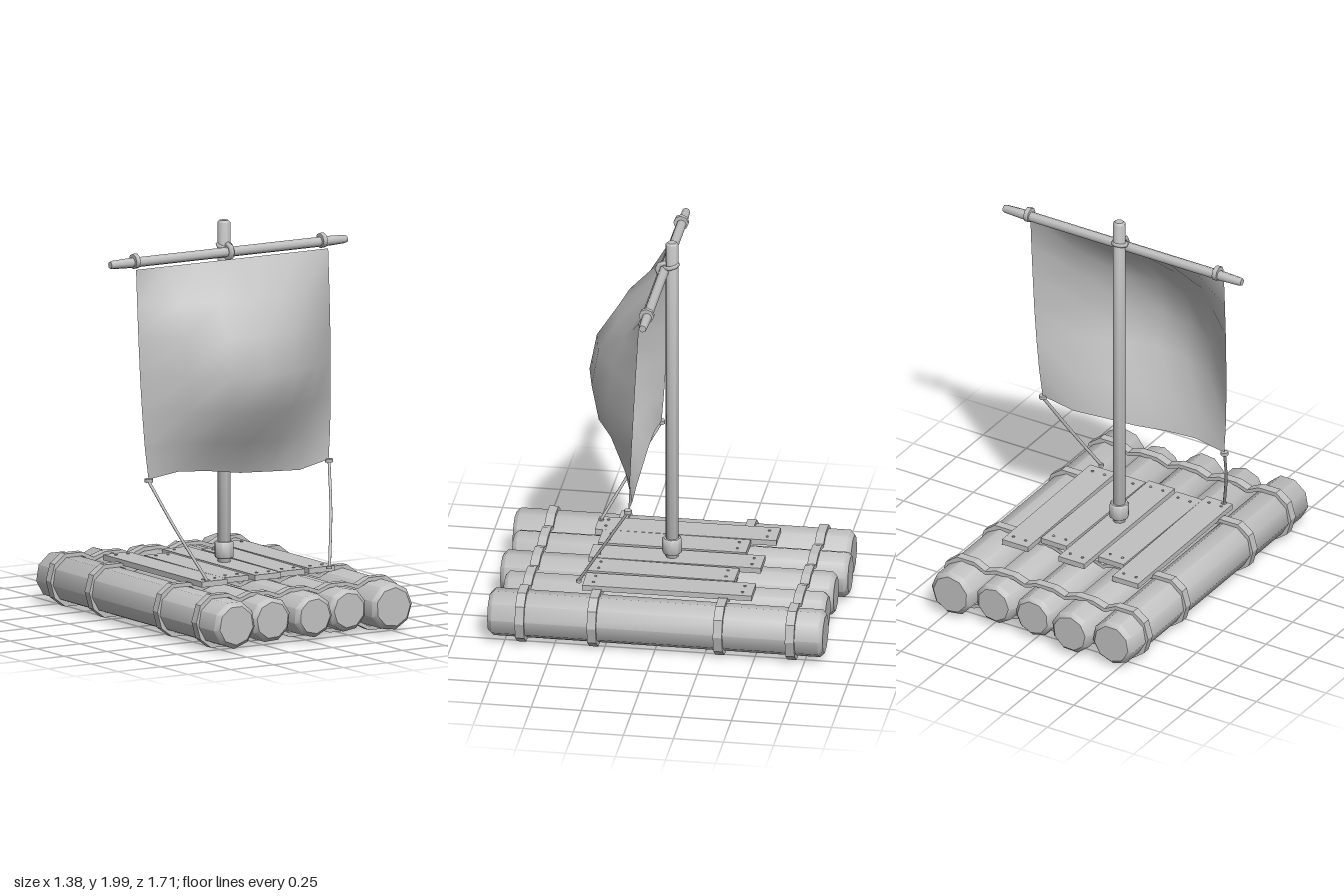
import * as THREE from 'three';
import { toCreasedNormals } from 'three/addons/utils/BufferGeometryUtils.js';

const grey = new THREE.MeshStandardMaterial({ color: 0xc0c0c0 });
grey.name = 'plain grey';
const greyCloth = grey;
greyCloth.side = THREE.DoubleSide;

export function createModel() {
  const model = new THREE.Group();
  model.name = 'raft';

  const add = (name, geometry, x = 0, y = 0, z = 0) => {
    const mesh = new THREE.Mesh(geometry, grey);
    mesh.name = name;
    mesh.position.set(x, y, z);
    model.add(mesh);
    return mesh;
  };

  // Round pole along y with chamfered ends
  const pole = (r, from, to, bevel, sides) => {
    const points = [
      [0, from], [r - bevel, from], [r, from + bevel],
      [r, to - bevel], [r - bevel, to], [0, to],
    ].map(([px, py]) => new THREE.Vector2(px, py));
    return toCreasedNormals(new THREE.LatheGeometry(points, sides), 0.79);
  };

  // Five floating logs: x, radius, back z, front z
  [
    [-0.465, 0.12, -0.84, 0.85],
    [-0.235, 0.114, -0.86, 0.82],
    [0, 0.11, -0.825, 0.84],
    [0.23, 0.11, -0.82, 0.79],
    [0.463, 0.12, -0.845, 0.83],
  ].forEach(([x, r, back, front], i) => {
    const log = pole(r, back, front, 0.022, 9);
    log.rotateY(i * 1.1);
    log.rotateX(Math.PI / 2);
    add('log', log, x, 0.142, 0);
  });

  // Wavy lashings wrapped round all the logs
  const outline = (inset) => {
    const quarter = [
      [0.05, 0.122], [0.115, 0.098], [0.18, 0.122], [0.28, 0.122],
      [0.345, 0.1], [0.41, 0.132], [0.51, 0.132], [0.573, 0.085], [0.597, 0],
    ].map(([x, y]) => [x > 0.5 ? x - inset * 0.9 : x, y > 0 ? y - inset : 0]);
    const side = quarter.concat(quarter.slice(0, -1).reverse().map(([x, y]) => [x, -y]));
    return side.concat(side.slice().reverse().map(([x, y]) => [-x, y]))
      .map(([x, y]) => new THREE.Vector2(x, y));
  };
  const band = new THREE.Shape(outline(0));
  band.holes.push(new THREE.Path(outline(0.02)));
  const bandGeometry = new THREE.ExtrudeGeometry(band, { depth: 0.045, bevelEnabled: false });
  bandGeometry.translate(0, 0, -0.0225);
  for (const z of [-0.685, -0.325, 0.305, 0.665]) add('lashing', bandGeometry, 0, 0.142, z);

  // Deck planks: x, back z, front z, small turn
  [
    [-0.325, -0.485, 0.42, 0.008],
    [-0.17, -0.36, 0.38, -0.004],
    [0, -0.46, 0.4, 0.003],
    [0.16, -0.355, 0.38, -0.012],
    [0.325, -0.465, 0.38, 0.008],
  ].forEach(([x, back, front, turn]) => {
    const plank = add('plank', new THREE.BoxGeometry(0.15, 0.028, front - back), x, 0.274, (back + front) / 2);
    plank.rotation.y = turn;
    for (const z of [back + 0.05, front - 0.05]) {
      for (const s of [-1, 1]) {
        add('nail', new THREE.CylinderGeometry(0.007, 0.007, 0.006, 6), x + s * 0.035, 0.29, z);
      }
    }
  });

  // Mast and its foot collar
  add('mast', pole(0.032, 0.27, 2, 0.01, 8), 0, 0, -0.005);
  add('mastCollar', pole(0.049, 0.308, 0.39, 0.006, 8), 0, 0, -0.005);

  // Yard with thinner tips, sail rings and the knot at the mast
  const yardPoints = [
    [0, -0.688], [0.018, -0.688], [0.021, -0.675], [0.025, -0.58],
    [0.025, 0.58], [0.021, 0.675], [0.018, 0.688], [0, 0.688],
  ].map(([r, y]) => new THREE.Vector2(r, y));
  const yard = toCreasedNormals(new THREE.LatheGeometry(yardPoints, 8), 0.8);
  yard.rotateZ(Math.PI / 2);
  add('yard', yard, 0, 1.845, 0.033);
  for (const s of [-1, 1]) {
    const ring = new THREE.CylinderGeometry(0.038, 0.038, 0.024, 8);
    ring.rotateZ(Math.PI / 2);
    add('sailRing', toCreasedNormals(ring, 0.8), s * 0.545, 1.852, 0.035);
  }
  const knot = new THREE.TorusGeometry(0.035, 0.014, 6, 8);
  knot.rotateY(Math.PI / 2);
  add('yardKnot', knot, 0, 1.848, 0.033);
  const mastLoop = new THREE.TorusGeometry(0.035, 0.011, 6, 8);
  mastLoop.rotateX(Math.PI / 2 + 0.25);
  add('mastLoop', mastLoop, 0, 1.872, 0);

  // Billowing sail: a plane moved row by row
  const rowY = [1.815, 1.64, 1.47, 1.28, 1.1, 0.92, 0.765];
  const rowDepth = [0, 0.18, 0.28, 0.307, 0.255, 0.1, 0.015];
  const columnBulge = [0, 0.52, 0.87, 1, 0.87, 0.52, 0];
  const hemLift = [0.005, 0.03, 0.015, -0.01, -0.02, -0.03, 0.005];
  const sail = new THREE.PlaneGeometry(1, 1, 6, 6);
  const position = sail.attributes.position;
  for (let i = 0; i < position.count; i++) {
    const column = i % 7, row = Math.floor(i / 7), v = row / 6;
    const halfWidth = 0.56 - 0.035 * v ** 3;
    position.setXYZ(
      i,
      (column / 3 - 1) * halfWidth,
      rowY[row] + hemLift[column] * v ** 3,
      0.07 + 0.06 * v + rowDepth[row] * columnBulge[column],
    );
  }
  sail.computeVertexNormals();
  add('sail', sail);

  // Sheets tying the lower sail corners to the deck
  for (const s of [-1, 1]) {
    const path = new THREE.CatmullRomCurve3([
      new THREE.Vector3(s * 0.527, 0.765, 0.13),
      new THREE.Vector3(s * 0.455, 0.54, 0.262),
      new THREE.Vector3(s * 0.355, 0.285, 0.408),
    ]);
    add('sheetRope', new THREE.TubeGeometry(path, 8, 0.008, 6));
    add('cornerKnot', new THREE.CylinderGeometry(0.02, 0.02, 0.018, 6), s * 0.525, 0.765, 0.132);
    add('deckKnot', new THREE.CylinderGeometry(0.014, 0.014, 0.014, 6), s * 0.355, 0.287, 0.405);
  }

  return model;
}
